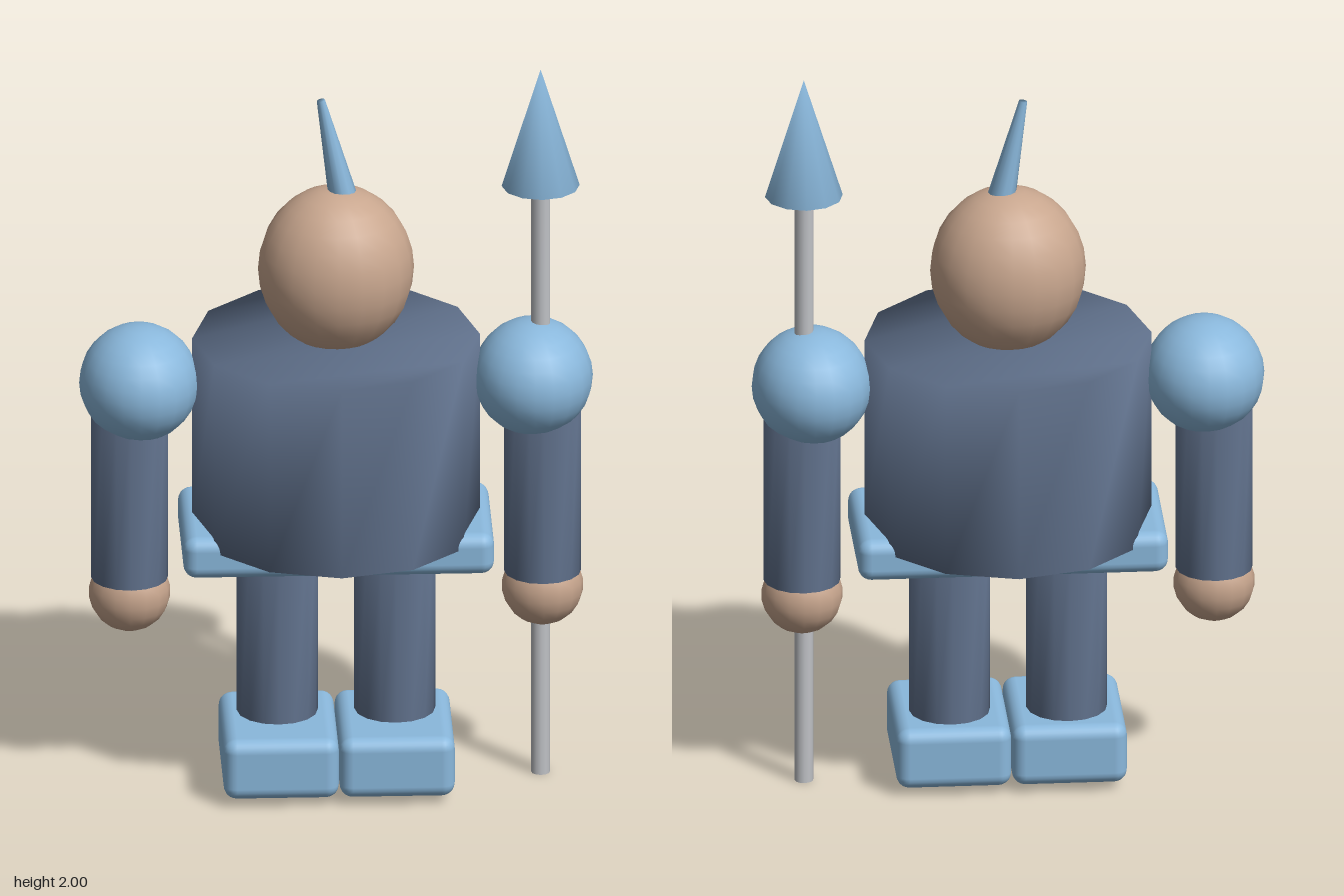
import * as THREE from 'three';
import { mergeVertices } from 'three/addons/utils/BufferGeometryUtils.js';
import { RoundedBoxGeometry } from 'three/addons/geometries/RoundedBoxGeometry.js';

// Closed prism whose caps share the side vertices, so the shading rolls over the rims
function softPrism(rTop, rBottom, height, n, start = 1) {
  const pos = [], index = [];
  for (const [r, y] of [[rBottom, -height / 2], [rTop, height / 2]]) {
    for (let i = 0; i < n; i++) {
      const a = (i / n) * Math.PI * 2;
      pos.push(r * Math.sin(a), y, r * Math.cos(a));
    }
  }
  const w = (i) => (i + n) % n;
  for (let i = 0; i < n; i++) {
    const j = w(i + 1);
    index.push(i, j, n + j, i, n + j, n + i);
  }
  // caps, as strips running across the polygon
  const cap = (a, b, c) => index.push(n + a, n + b, n + c, a, c, b);
  for (let k = 0; k < n / 2; k++) {
    const a = w(start + k), b = w(start + k + 1), c = w(start - k - 1), d = w(start - k);
    if (b !== c) cap(a, b, c);
    if (a !== d) cap(a, c, d);
  }
  const g = new THREE.BufferGeometry();
  g.setAttribute('position', new THREE.Float32BufferAttribute(pos, 3));
  g.setIndex(index);
  g.computeVertexNormals();
  return g;
}

// Cone with its tip and rim welded
function softCone(r, height, n) {
  let g = new THREE.ConeGeometry(r, height, n);
  g.deleteAttribute('normal');
  g.deleteAttribute('uv');
  g = mergeVertices(g, 1e-4);
  g.computeVertexNormals();
  return g;
}

const ball = (rx, ry, rz, seg = 20) =>
  new THREE.SphereGeometry(1, seg, Math.round(seg * 0.7)).scale(rx, ry, rz);

export function createModel() {
  const mat = (name, color) => {
    const m = new THREE.MeshStandardMaterial({ color });
    m.name = name;
    return m;
  };
  const plate = mat('light blue armour', 0x8ab8dc);
  const cloth = mat('slate blue', 0x61728d);
  const skin = mat('skin', 0xc8a68e);
  const steel = mat('grey shaft', 0xc0c2c6);

  const model = new THREE.Group();
  model.name = 'spearGuard';
  const add = (name, geometry, material, x, y, z = 0, parent = model) => {
    const mesh = new THREE.Mesh(geometry, material);
    mesh.name = name;
    mesh.position.set(x, y, z);
    parent.add(mesh);
    return mesh;
  };

  // Body
  add('torso', softPrism(0.38, 0.38, 0.535, 12), cloth, 0, 0.982);
  add('belt', new RoundedBoxGeometry(0.82, 0.115, 0.41, 3, 0.035), plate, 0, 0.6975);
  add('head', ball(0.206, 0.226, 0.19), skin, 0, 1.446);

  // Crest leaning to the right side
  const base = new THREE.Vector3(0.022, 1.63, 0);
  const tip = new THREE.Vector3(-0.04, 1.922, 0);
  const mid = base.clone().add(tip).multiplyScalar(0.5);
  const crest = add('crest', softPrism(0.011, 0.04, base.distanceTo(tip), 12), plate, mid.x, mid.y);
  crest.quaternion.setFromUnitVectors(new THREE.Vector3(0, 1, 0), tip.clone().sub(base).normalize());

  // Limbs, mirrored
  for (const [side, s] of [['left', 1], ['right', -1]]) {
    const arm = new THREE.Group();
    arm.name = side + 'Arm';
    model.add(arm);
    add(side + 'Shoulder', ball(0.158, 0.156, 0.173), plate, s * 0.52, 1.129, 0, arm);
    add(side + 'Sleeve', softPrism(0.102, 0.102, 0.525, 16), cloth, s * 0.545, 0.8375, 0, arm);
    add(side + 'Hand', ball(0.108, 0.107, 0.103, 16), skin, s * 0.545, 0.533, 0, arm);

    const leg = new THREE.Group();
    leg.name = side + 'Leg';
    model.add(leg);
    add(side + 'Shin', softPrism(0.107, 0.107, 0.52, 16), cloth, s * 0.155, 0.42, 0, leg);
    add(side + 'Foot', new RoundedBoxGeometry(0.304, 0.168, 0.39, 3, 0.035), plate, s * 0.153, 0.105, 0.04, leg);
  }

  // Spear held in the left hand
  const spear = new THREE.Group();
  spear.name = 'spear';
  model.add(spear);
  add('spearShaft', softPrism(0.025, 0.025, 1.69, 12), steel, 0.54, 0.845, 0, spear);
  add('spearHead', softCone(0.103, 0.33, 12), plate, 0.54, 1.835, 0, spear);

  return model;
}
